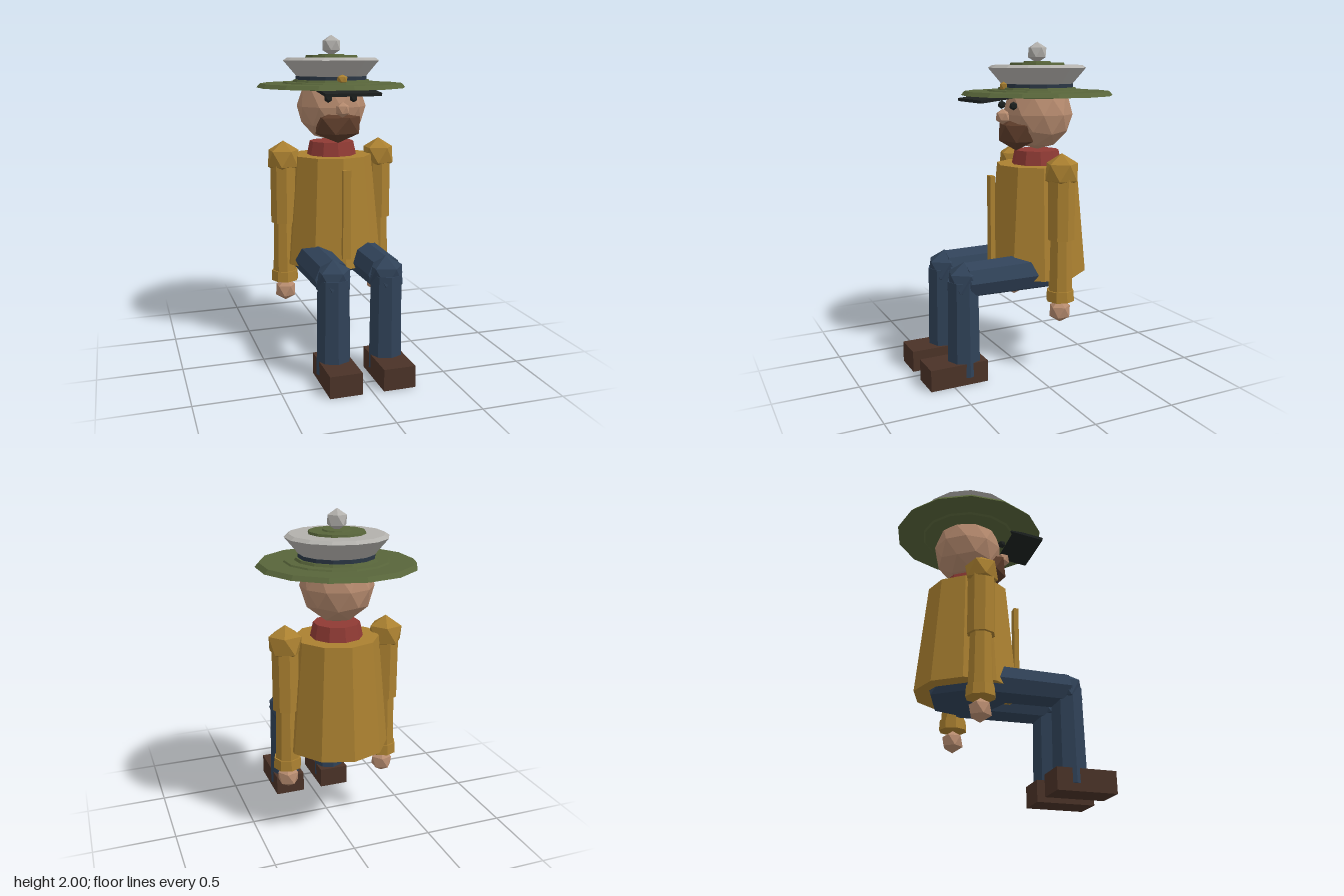
import * as THREE from 'three';

const AXIS_Z = -0.173; // depth of the upright body axis

const paint = (color) => new THREE.MeshStandardMaterial({ color, flatShading: true });
const M = {
  skin: paint(0xb58a6e), gold: paint(0xaa8030), blue: paint(0x304258), brown: paint(0x4a3227),
  beard: paint(0x5c3c2a), red: paint(0x8f3a34), green: paint(0x58653a), grey: paint(0xb2b0ac),
  navy: paint(0x2a3644), black: paint(0x1d2120),
};

export function createModel() {
  const model = new THREE.Group();

  const add = (name, geometry, material, x, y, z) => {
    const mesh = new THREE.Mesh(geometry, material);
    mesh.name = name;
    mesh.position.set(x, y, z);
    model.add(mesh);
    return mesh;
  };

  // faceted ball standing on one corner, optionally squashed
  const ball = (name, material, x, y, z, r, detail = 0, scale = [1, 1, 1]) => {
    const g = new THREE.IcosahedronGeometry(r, detail);
    g.rotateX(-Math.atan((1 + Math.sqrt(5)) / 2)).rotateY(Math.PI / 2).scale(...scale);
    return add(name, g, material, x, y, z);
  };

  // upright tapered prism between two heights
  const prism = (name, material, x, z, y0, y1, rBottom, rTop, sides) =>
    add(name, new THREE.CylinderGeometry(rTop, rBottom, y1 - y0, sides), material, x, (y0 + y1) / 2, z);

  const box = (name, material, w, h, d, x, y, z) =>
    add(name, new THREE.BoxGeometry(w, h, d), material, x, y, z);

  // Torso
  prism('coat', M.gold, 0, AXIS_Z, 0.58, 1.26, 0.315, 0.25, 10);
  box('placket', M.gold, 0.05, 0.55, 0.03, 0, 0.925, 0.14);
  prism('collar', M.red, 0, AXIS_Z, 1.24, 1.345, 0.16, 0.138, 10);
  ball('pelvis', M.blue, 0, 0.613, AXIS_Z, 0.27, 0, [1, 0.6, 1]);

  // Head and face
  ball('head', M.skin, 0, 1.565, AXIS_Z - 0.005, 0.217, 1);
  ball('beard', M.beard, 0, 1.455, -0.03, 0.11, 0, [1.46, 1, 1]);
  ball('nose', M.skin, 0, 1.555, 0.06, 0.047);

  // Hat
  prism('brimUnderside', M.green, 0, AXIS_Z, 1.67, 1.69, 0.29, 0.31, 14);
  prism('brim', M.green, 0, AXIS_Z, 1.68, 1.705, 0.467, 0.445, 14);
  prism('brimStep', M.green, 0, AXIS_Z, 1.7, 1.714, 0.31, 0.3, 14);
  prism('hatBase', M.green, 0, AXIS_Z, 1.71, 1.728, 0.245, 0.235, 14);
  prism('hatBand', M.navy, 0, AXIS_Z, 1.72, 1.75, 0.222, 0.222, 14);
  const crownProfile = [[0, 1.745], [0.215, 1.745], [0.3, 1.845], [0.275, 1.862], [0, 1.862]];
  add('crown', new THREE.LatheGeometry(crownProfile.map((p) => new THREE.Vector2(...p)), 14),
    M.grey, 0, 0, AXIS_Z);
  prism('crownTop', M.green, 0, AXIS_Z, 1.86, 1.876, 0.168, 0.163, 12);
  prism('topButton', M.green, 0, AXIS_Z, 1.87, 1.884, 0.088, 0.08, 12);
  ball('pompom', M.grey, 0, 1.936, AXIS_Z, 0.064);
  ball('badge', M.gold, 0, 1.735, 0.053, 0.036, 0, [1, 0.85, 0.7]);
  box('visor', M.black, 0.34, 0.018, 0.24, 0, 1.669, 0.16).rotation.x = 0.12;

  for (const s of [1, -1]) {
    const side = s > 0 ? 'left' : 'right';
    ball(side + 'Eye', M.black, s * 0.08, 1.622, 0.028, 0.026);

    // Arm
    const ax = s * 0.315;
    ball(side + 'Shoulder', M.gold, ax, 1.245, AXIS_Z, 0.11);
    prism(side + 'UpperArm', M.gold, ax, AXIS_Z, 0.84, 1.245, 0.083, 0.083, 8);
    prism(side + 'Forearm', M.gold, ax, AXIS_Z, 0.48, 0.86, 0.075, 0.065, 8);
    prism(side + 'Cuff', M.gold, ax, AXIS_Z, 0.46, 0.525, 0.087, 0.083, 8);
    ball(side + 'Hand', M.skin, s * 0.312, 0.39, AXIS_Z, 0.071);

    // Leg
    const lx = s * 0.162;
    prism(side + 'Thigh', M.blue, lx, 0.11, 0.335, 0.895, 0.115, 0.107, 8).rotation.x = Math.PI / 2;
    ball(side + 'Knee', M.blue, lx, 0.613, 0.39, 0.115);
    prism(side + 'Shin', M.blue, lx, 0.4, 0.045, 0.62, 0.104, 0.096, 8);
    box(side + 'Shoe', M.brown, 0.192, 0.13, 0.36, s * 0.16, 0.065, 0.464);
  }

  return model;
}
